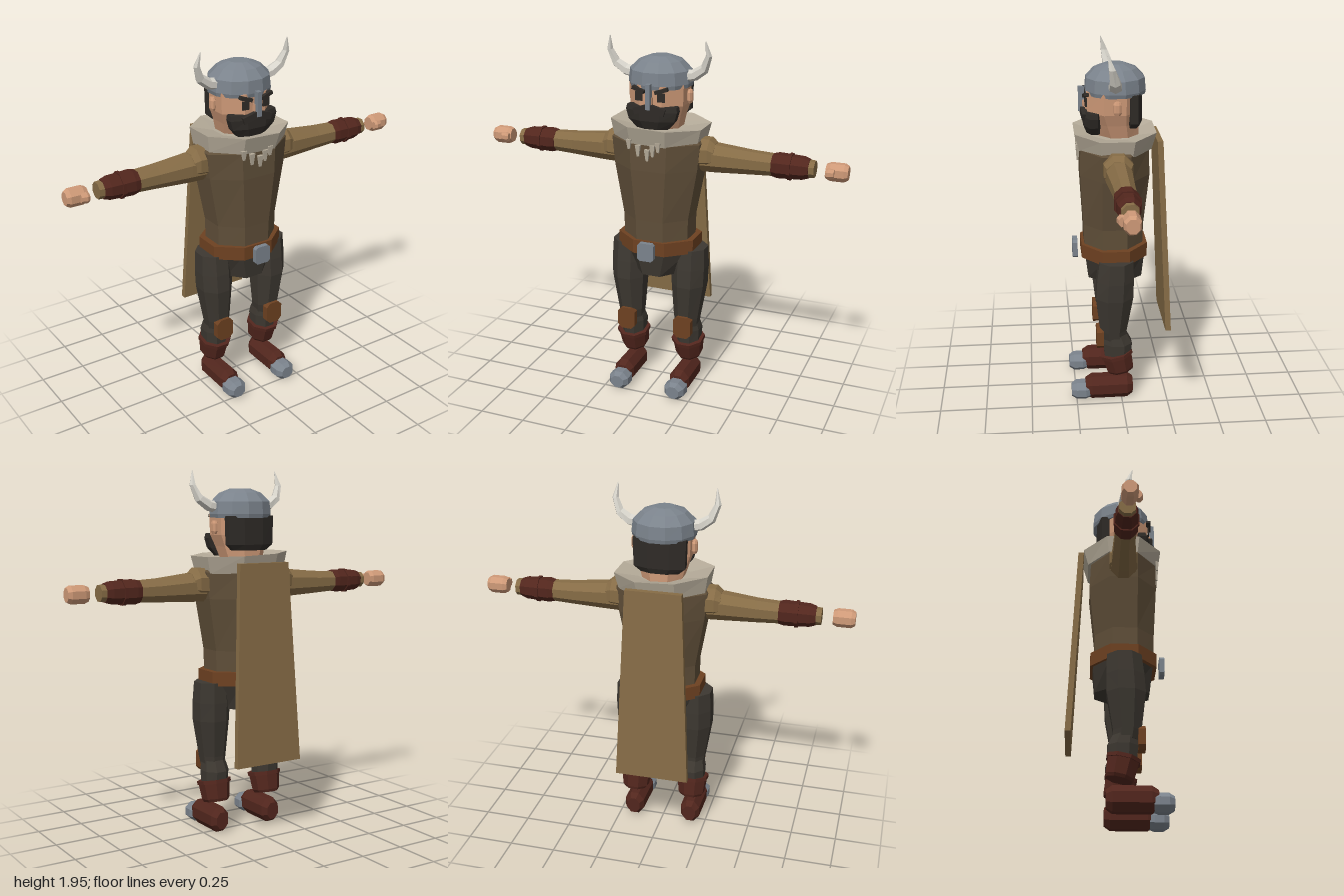
import * as THREE from 'three';

const mat = (name, color) => {
  const m = new THREE.MeshStandardMaterial({ color, flatShading: true });
  m.name = name;
  return m;
};

// Solid through rings [x, y, z, halfWidth, halfDepth, tilt about z], capped at both ends
function loft(rings, n = 8) {
  const pos = [], idx = [], k = 1 / Math.cos(Math.PI / n);
  for (const [x, y, z, rx, rz, tilt = 0] of rings) {
    for (let j = 0; j < n; j++) {
      const a = ((j + 0.5) / n) * Math.PI * 2, u = Math.sin(a) * rx * k;
      pos.push(x + u * Math.cos(tilt), y + u * Math.sin(tilt), z + Math.cos(a) * rz * k);
    }
  }
  const last = rings.length - 1;
  for (let i = 0; i < last; i++) {
    for (let j = 0; j < n; j++) {
      const a = i * n + j, b = i * n + ((j + 1) % n);
      idx.push(a, b, b + n, a, b + n, a + n);
    }
  }
  for (let j = 1; j < n - 1; j++) {
    idx.push(0, j + 1, j, last * n, last * n + j, last * n + j + 1);
  }
  const g = new THREE.BufferGeometry();
  g.setAttribute('position', new THREE.Float32BufferAttribute(pos, 3));
  g.setIndex(idx);
  g.computeVertexNormals();
  return g;
}

// Plate with chamfered corners, centred, facing z
function plate(w, h, d, c) {
  const x = w / 2, y = h / 2;
  const s = new THREE.Shape([[-x + c, -y], [x - c, -y], [x, -y + c], [x, y - c], [x - c, y],
    [-x + c, y], [-x, y - c], [-x, -y + c]].map(p => new THREE.Vector2(...p)));
  return new THREE.ExtrudeGeometry(s, { depth: d, bevelEnabled: false }).translate(0, 0, -d / 2);
}

export function createModel() {
  const skin = mat('skin', 0xcf9a78), hair = mat('dark hair', 0x2f2b27), steel = mat('steel', 0x7b838c),
    horn = mat('horn', 0xd6d3ca), fur = mat('fur', 0xb5ab99), tunic = mat('tunic cloth', 0x604f39),
    cloth = mat('sleeve and cape cloth', 0x866c46), belt = mat('belt leather', 0x6e4121),
    boot = mat('boot leather', 0x52261d), trousers = mat('trousers', 0x3d3831);

  const model = new THREE.Group();
  model.name = 'hornedWarrior';
  const add = (parent, name, geo, material, x = 0, y = 0, z = 0, rx = 0, ry = 0, rz = 0) => {
    const m = new THREE.Mesh(geo, material);
    m.name = name;
    m.position.set(x, y, z);
    m.rotation.set(rx, ry, rz);
    parent.add(m);
    return m;
  };
  const box = (w, h, d) => new THREE.BoxGeometry(w, h, d);

  // Body
  add(model, 'torso', loft([[0, 0.84, 0.035, 0.18, 0.155], [0, 1.0, 0.035, 0.183, 0.16],
    [0, 1.28, 0.028, 0.232, 0.182], [0, 1.42, 0.03, 0.245, 0.178], [0, 1.47, 0.03, 0.2, 0.14]]), tunic);
  add(model, 'hips', loft([[0, 0.68, 0.025, 0.12, 0.145], [0, 0.83, 0.028, 0.2, 0.16]]), trousers);
  add(model, 'belt', loft([[0, 0.815, 0.031, 0.213, 0.176], [0, 0.89, 0.031, 0.213, 0.176]]), belt);
  add(model, 'buckle', plate(0.09, 0.1, 0.027, 0.012), steel, 0, 0.845, 0.24);

  // Fur collar, sloping in towards the neck, with hanging tufts
  add(model, 'furCollar', loft([[0, -0.045, 0, 0.232, 0.188], [0, 0.045, 0, 0.25, 0.213],
    [0, 0.02, 0, 0.13, 0.12]]), fur, 0, 1.465, 0.025, 0, 0, -0.04);
  [[-0.1, 1.42, 0.05], [-0.05, 1.39, 0.06], [0, 1.37, 0.06], [0.03, 1.395, 0.06], [0.06, 1.415, 0.05]]
    .forEach(([x, y, h]) => add(model, 'furTuft',
      loft([[0, -h / 2, 0, 0.006, 0.005], [0, h / 2, 0, 0.014, 0.009]], 4), fur, x, y, 0.218));

  // Cape: slab that widens and leans back towards the hem
  const cape = box(0.3, 1.06, 0.03), p = cape.attributes.position;
  for (let i = 0; i < p.count; i++) {
    const t = 0.5 - p.getY(i) / 1.06;
    p.setX(i, p.getX(i) * (1 + t * 0.33));
    p.setZ(i, p.getZ(i) - t * 0.052);
  }
  cape.computeVertexNormals();
  add(model, 'cape', cape, cloth, 0, 0.94, -0.203);

  // Head
  add(model, 'head', loft([[0, 1.46, 0.0, 0.1, 0.1], [0, 1.55, 0.02, 0.125, 0.12],
    [0, 1.61, 0.03, 0.146, 0.138], [0, 1.72, 0.03, 0.15, 0.142]]), skin);
  add(model, 'backHair', loft([[0, 1.53, -0.065, 0.1, 0.04], [0, 1.56, -0.07, 0.135, 0.046],
    [0, 1.71, -0.07, 0.14, 0.046]]), hair);
  add(model, 'beard', loft([[0, 1.495, 0.13, 0.085, 0.04], [0, 1.54, 0.138, 0.125, 0.05],
    [0, 1.59, 0.138, 0.14, 0.05], [0, 1.615, 0.135, 0.135, 0.046]]), hair);
  add(model, 'helmet', loft([[0, 1.7, 0.02, 0.16, 0.152], [0, 1.72, 0.02, 0.165, 0.156],
    [0, 1.785, 0.02, 0.157, 0.15], [0, 1.83, 0.02, 0.112, 0.108], [0, 1.853, 0.02, 0.052, 0.052]], 12), steel);
  add(model, 'noseGuard', box(0.025, 0.13, 0.03), steel, 0, 1.67, 0.196);
  add(model, 'nose', box(0.03, 0.05, 0.03), skin, 0, 1.64, 0.175);

  for (const side of [1, -1]) {
    const half = new THREE.Group();
    half.name = side > 0 ? 'leftSide' : 'rightSide';
    half.scale.x = side;
    model.add(half);

    // Face details and horn
    add(half, 'ear', loft([[0, -0.035, 0, 0.01, 0.014], [0, -0.02, 0, 0.015, 0.022],
      [0, 0.02, 0, 0.015, 0.022], [0, 0.035, 0, 0.01, 0.014]]), skin, 0.16, 1.65, 0.02);
    add(half, 'eye', box(0.04, 0.045, 0.008), hair, 0.061, 1.665, 0.175, 0, 0.1);
    add(half, 'brow', box(0.07, 0.018, 0.025), hair, 0.062, 1.7, 0.176, 0, 0.1, 0.3);
    add(half, 'moustache', box(0.085, 0.035, 0.025), hair, 0.042, 1.602, 0.187, 0, 0.1, -0.3);
    add(half, 'horn', loft([[0.14, 1.755, 0.03, 0.027, 0.034, -1.5], [0.19, 1.765, 0.032, 0.026, 0.032, -1.2],
      [0.242, 1.8, 0.038, 0.022, 0.026, -0.8], [0.27, 1.87, 0.055, 0.015, 0.017, -0.1],
      [0.26, 1.945, 0.075, 0.002, 0.002, 0.15]], 6), horn);

    // Arm, built upright and laid along x
    const arm = new THREE.Group();
    arm.name = 'arm';
    arm.position.set(0, 1.335, 0.025);
    arm.rotation.z = -Math.PI / 2;
    half.add(arm);
    add(arm, 'shoulder', loft([[-0.02, 0.18, 0, 0.085, 0.075], [-0.025, 0.28, 0, 0.08, 0.075],
      [-0.02, 0.31, 0, 0.06, 0.062]]), cloth);
    add(arm, 'sleeve', loft([[-0.005, 0.24, 0, 0.075, 0.068], [-0.005, 0.32, 0, 0.073, 0.065],
      [0, 0.5, -0.005, 0.06, 0.055], [0, 0.62, -0.005, 0.054, 0.052], [0, 0.83, -0.005, 0.041, 0.041]]), cloth);
    add(arm, 'bracer', loft([[0, 0.612, -0.005, 0.055, 0.055], [0, 0.64, -0.005, 0.062, 0.06],
      [0, 0.77, -0.005, 0.056, 0.055], [0, 0.802, -0.005, 0.046, 0.046]]), boot);
    add(arm, 'bracerBand', loft([[0, 0.695, -0.005, 0.065, 0.064], [0, 0.713, -0.005, 0.065, 0.064]]), boot);
    add(arm, 'hand', loft([[0, 0.888, 0, 0.036, 0.033], [0, 0.91, 0, 0.045, 0.04],
      [0, 0.98, 0, 0.045, 0.04], [0, 1.0, 0, 0.034, 0.031]]), skin);
    add(arm, 'thumb', loft([[0, 0.892, 0.045, 0.02, 0.014], [0, 0.905, 0.045, 0.026, 0.02],
      [0, 0.935, 0.04, 0.023, 0.018]]), skin);

    // Leg
    const leg = new THREE.Group();
    leg.name = 'leg';
    leg.position.x = 0.165;
    half.add(leg);
    add(leg, 'thigh', loft([[0, 0.37, 0.04, 0.06, 0.065], [0, 0.42, 0.045, 0.068, 0.072],
      [0.01, 0.62, 0.04, 0.09, 0.1], [0.01, 0.72, 0.035, 0.093, 0.098], [0.01, 0.83, 0.03, 0.088, 0.09]]), trousers);
    add(leg, 'shin', loft([[0, 0.26, 0.02, 0.066, 0.072], [0, 0.34, 0.022, 0.07, 0.078],
      [0, 0.4, 0.035, 0.058, 0.06]]), trousers);
    add(leg, 'kneePad', plate(0.1, 0.125, 0.038, 0.022), belt, 0, 0.38, 0.118);
    const cuff = new THREE.Group();
    cuff.name = 'bootShaft';
    cuff.position.set(0, 0.225, 0.016);
    cuff.rotation.x = 0.22;
    leg.add(cuff);
    add(cuff, 'bootCuff', loft([[0, -0.06, 0, 0.06, 0.066], [0, -0.045, 0, 0.07, 0.072],
      [0, 0.045, 0, 0.08, 0.08]]), boot);
    add(cuff, 'cuffRim', loft([[0, 0.038, 0, 0.086, 0.086], [0, 0.058, 0, 0.086, 0.086]]), boot);
    // Foot and toe cap, built upright and laid along z
    add(leg, 'foot', loft([[0, -0.062, 0, 0.036, 0.046], [0, -0.03, 0, 0.054, 0.067],
      [0, 0.165, 0, 0.056, 0.067], [0, 0.2, 0, 0.042, 0.046]]), boot, 0, 0.068, 0, Math.PI / 2);
    add(leg, 'toeCap', loft([[0, 0.175, 0, 0.048, 0.042], [0, 0.2, 0, 0.058, 0.05],
      [0, 0.25, 0, 0.056, 0.049], [0, 0.277, 0, 0.036, 0.034]]), steel, 0, 0.05, 0, Math.PI / 2);
  }
  return model;
}
